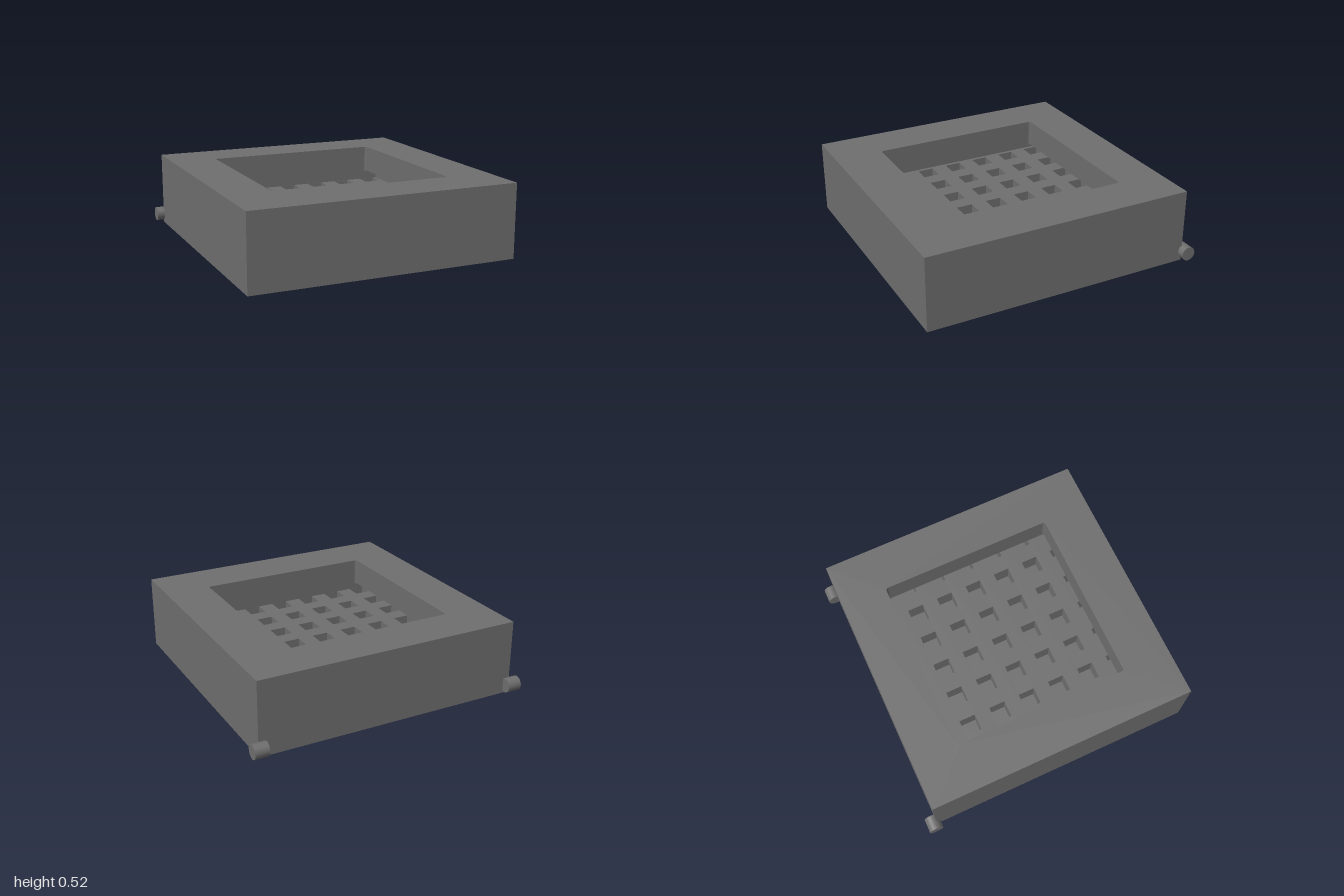
import * as THREE from 'three';
import { mergeGeometries } from 'three/addons/utils/BufferGeometryUtils.js';

const material = new THREE.MeshStandardMaterial({ color: 0x6e6e6e });

// Plan outline of a rectangle as [x, z] points, with optional rounded corners
function rect(x, z, w, d, radius = 0) {
  const points = [];
  const steps = radius ? 4 : 0;
  for (let corner = 0; corner < 4; corner++) {
    const sx = corner === 0 || corner === 3 ? 1 : -1;
    const sz = corner < 2 ? 1 : -1;
    for (let i = 0; i <= steps; i++) {
      const a = (corner + (steps ? i / steps : 0)) * (Math.PI / 2);
      points.push([
        x + sx * (w / 2 - radius) + radius * Math.cos(a),
        z + sz * (d / 2 - radius) + radius * Math.sin(a),
      ]);
    }
  }
  return points;
}

// Horizontal face with openings, facing up or down
function face(outline, holes, y, up = true) {
  const s = up ? -1 : 1;
  const flat = (points) => points.map(([px, pz]) => new THREE.Vector2(px, s * pz));
  const shape = new THREE.Shape(flat(outline));
  shape.holes = holes.map((h) => new THREE.Path(flat(h)));
  return new THREE.ShapeGeometry(shape)
    .rotateX((s * Math.PI) / 2)
    .translate(0, y, 0)
    .toNonIndexed()
    .deleteAttribute('uv');
}

// Upright walls along an outline, facing outward or inward
function walls(outline, y0, y1, inward = false) {
  const loop = inward ? [...outline].reverse() : outline;
  const positions = loop.flatMap(([px, pz], i) => {
    const [qx, qz] = loop[(i + 1) % loop.length];
    return [px, y0, pz, px, y1, pz, qx, y1, qz, px, y0, pz, qx, y1, qz, qx, y0, qz];
  });
  const g = new THREE.BufferGeometry();
  g.setAttribute('position', new THREE.Float32BufferAttribute(positions, 3));
  g.computeVertexNormals();
  return g;
}

export function createModel() {
  const group = new THREE.Group();
  const add = (name, geometry) => {
    const mesh = new THREE.Mesh(geometry, material);
    mesh.name = name;
    group.add(mesh);
    return mesh;
  };

  const top = 0.525, ceilingY = 0.335, plateY = 0.238, pocketY = 0.1, panelY = 0.004;
  const body = rect(0, 0.0355, 1.895, 1.915);
  const opening = rect(0, 0.025, 1.245, 1.245, 0.02);
  const cavity = rect(0, 0.02, 1.55, 1.5);

  // 7 x 7 grid of square pockets, the outer ones hidden below the rim
  const pockets = [];
  for (let i = -3; i <= 3; i++)
    for (let j = -3; j <= 3; j++) pockets.push(rect(i * 0.23, 0.021 + j * 0.23, 0.117, 0.117));

  // Outer shell: sides, top rim and underside border
  add('body', mergeGeometries([
    walls(body, 0, top),
    face(body, [opening], top),
    face(body, [cavity], 0, false),
  ]));

  // Window through the thick top, widening into a cavity below it
  add('window', walls(opening, ceilingY, top, true));
  add('cavity', mergeGeometries([
    face(cavity, [opening], ceilingY, false),
    walls(cavity, plateY, ceilingY, true),
  ]));

  // Perforated plate filling the cavity floor
  add('perforatedPlate', mergeGeometries([
    face(cavity, pockets, plateY),
    ...pockets.flatMap((p) => [walls(p, pocketY, plateY, true), face(p, [], pocketY)]),
  ]));

  // Slightly inset underside of the plate
  add('bottomPanel', mergeGeometries([
    walls(cavity, 0, panelY, true),
    face(cavity, [], panelY, false),
  ]));

  // Hinge pins at the lower back corners
  for (const side of [-1, 1]) {
    const pin = add(
      side > 0 ? 'leftHingePin' : 'rightHingePin',
      new THREE.CylinderGeometry(0.05, 0.05, 0.1, 32).rotateZ(Math.PI / 2),
    );
    pin.position.set(side * 0.95, 0.065, -0.943);
  }
  return group;
}
